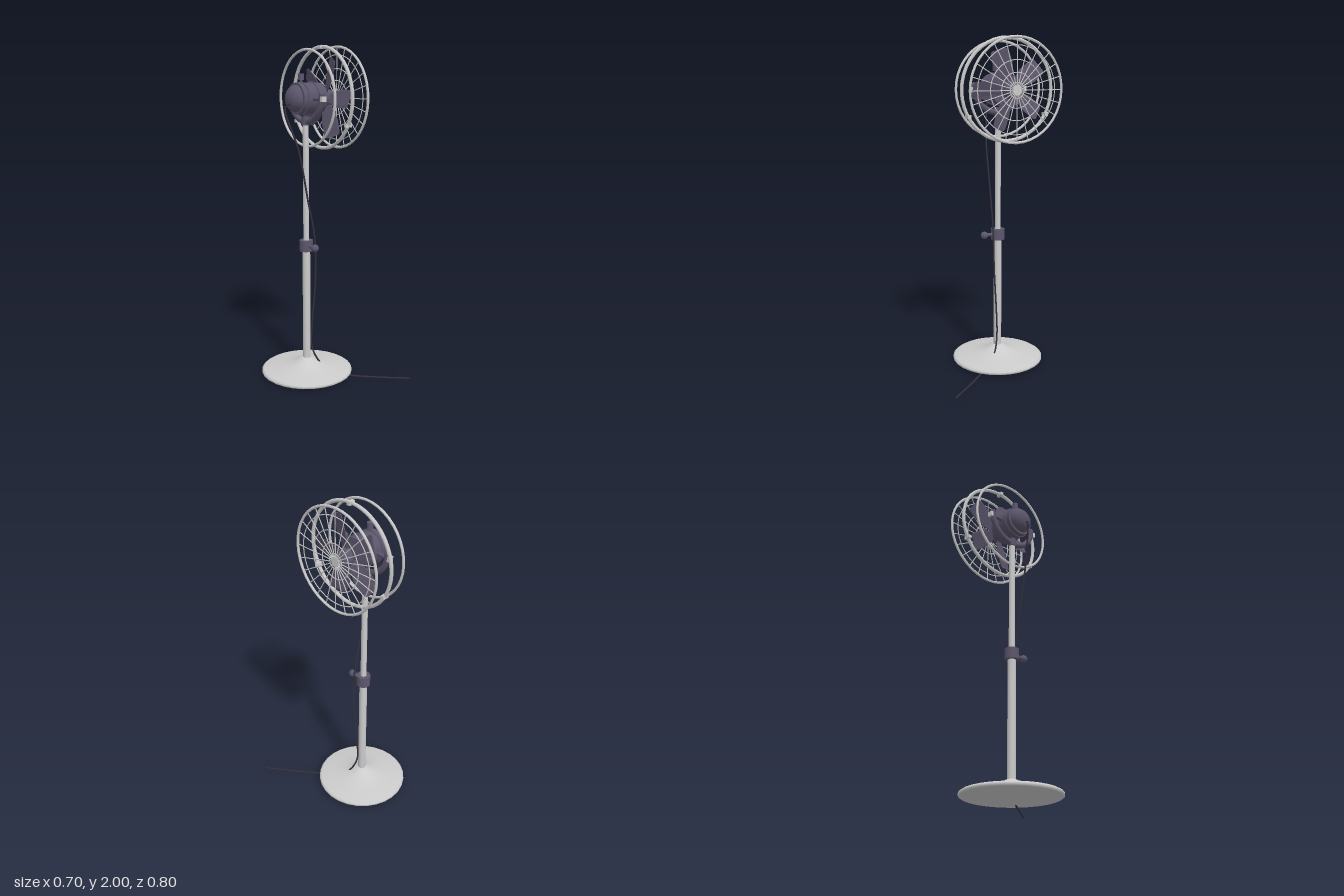
import * as THREE from 'three';

const V = (x, y, z) => new THREE.Vector3(x, y, z);
const grey = new THREE.MeshStandardMaterial({ color: 0xcccccc, side: THREE.DoubleSide });
const dark = new THREE.MeshStandardMaterial({ color: 0x5c566c, side: THREE.DoubleSide });
const black = new THREE.MeshStandardMaterial({ color: 0x35313f });

function add(parent, name, geo, mat, x = 0, y = 0, z = 0) {
  const m = new THREE.Mesh(geo, mat);
  m.name = name;
  m.position.set(x, y, z);
  parent.add(m);
  return m;
}

// Lathe turned so that its profile [radius, x] runs along +x
const latheX = (pts, seg = 24) =>
  new THREE.LatheGeometry(pts.map(p => new THREE.Vector2(...p)), seg).rotateZ(-Math.PI / 2);

// Ring whose axis is x
const ringX = (r, tube, sides = 6, seg = 40) => new THREE.TorusGeometry(r, tube, sides, seg).rotateY(Math.PI / 2);

// Tapered blade pointing along +z, pitched and slightly cupped
function bladeGeometry() {
  const s = new THREE.Shape();
  s.moveTo(0.03, -0.018);
  s.bezierCurveTo(0.08, -0.03, 0.1, -0.05, 0.15, -0.052);
  s.lineTo(0.215, -0.05);
  s.quadraticCurveTo(0.236, -0.048, 0.236, -0.03);
  s.lineTo(0.236, 0.03);
  s.quadraticCurveTo(0.236, 0.048, 0.215, 0.05);
  s.lineTo(0.15, 0.052);
  s.bezierCurveTo(0.1, 0.05, 0.08, 0.03, 0.03, 0.018);
  const g = new THREE.ExtrudeGeometry(s, { depth: 0.005, bevelEnabled: false, curveSegments: 5 });
  const p = g.attributes.position;
  for (let i = 0; i < p.count; i++) {
    const r = p.getX(i), w = p.getY(i), t = p.getZ(i);
    p.setXYZ(i, t + w * 0.36 + w * w * 1.5, w, r);
  }
  // the axis swap mirrors the solid, so restore the winding
  for (let i = 0; i < p.count; i += 3) {
    const a = V().fromBufferAttribute(p, i), c = V().fromBufferAttribute(p, i + 2);
    p.setXYZ(i, c.x, c.y, c.z);
    p.setXYZ(i + 2, a.x, a.y, a.z);
  }
  g.computeVertexNormals();
  return g;
}

export function createModel() {
  const model = new THREE.Group();
  model.name = 'pedestalFan';

  // Stand
  const stand = new THREE.Group();
  stand.name = 'stand';
  stand.position.set(-0.073, 0, -0.095);
  model.add(stand);
  const baseProfile = [[0, 0.01], [0.272, 0.01], [0.28, 0.016], [0.28, 0.028], [0.268, 0.036],
    [0.19, 0.046], [0.12, 0.06], [0.07, 0.077], [0.04, 0.097], [0.024, 0.103], [0, 0.103]];
  add(stand, 'base', new THREE.LatheGeometry(baseProfile.map(p => new THREE.Vector2(...p)), 28), grey);
  add(stand, 'lowerPole', new THREE.CylinderGeometry(0.024, 0.024, 0.72, 16), grey, 0, 0.45, 0);
  add(stand, 'upperPole', new THREE.CylinderGeometry(0.018, 0.018, 0.76, 16), grey, 0, 1.19, 0);
  add(stand, 'heightCollar', new THREE.CylinderGeometry(0.042, 0.042, 0.066, 20), dark, 0, 0.818, 0);
  add(stand, 'clampStem', new THREE.CylinderGeometry(0.011, 0.011, 0.06, 10).rotateX(Math.PI / 2), dark, 0, 0.818, 0.06);
  add(stand, 'clampKnob', new THREE.SphereGeometry(0.023, 14, 10), dark, 0, 0.818, 0.092);

  // U-shaped yoke carrying the motor
  const yoke = new THREE.Group();
  yoke.name = 'yoke';
  yoke.position.set(-0.073, 1.72, -0.095);
  model.add(yoke);
  add(yoke, 'yokeArc', new THREE.TorusGeometry(0.16, 0.018, 8, 20, Math.PI).rotateX(Math.PI).rotateY(Math.PI / 2), dark);
  add(yoke, 'yokeSocket', new THREE.CylinderGeometry(0.024, 0.024, 0.05, 14), dark, 0, -0.155, 0);
  for (const s of [-1, 1]) {
    add(yoke, 'yokeEnd', new THREE.SphereGeometry(0.018, 10, 8), dark, 0, 0, s * 0.16);
    add(yoke, 'pivot', new THREE.CylinderGeometry(0.012, 0.012, 0.09, 10).rotateX(Math.PI / 2), dark, 0, -0.025, s * 0.12);
    add(yoke, 'pivotBolt', new THREE.BoxGeometry(0.03, 0.03, 0.018), grey, 0, -0.025, s * 0.176);
  }

  // Head: everything centred on the blade axis
  const head = new THREE.Group();
  head.name = 'head';
  head.position.set(0, 1.695, -0.095);
  model.add(head);
  add(head, 'motorHousing', new THREE.CylinderGeometry(0.091, 0.091, 0.162, 28).rotateZ(-Math.PI / 2), dark, -0.061, 0, 0);
  add(head, 'rearDome', latheX([[0, -0.197], [0.022, -0.195], [0.045, -0.187], [0.063, -0.174],
    [0.074, -0.158], [0.078, -0.142]]), dark);
  for (const x of [-0.107, -0.037]) add(head, 'motorBand', ringX(0.092, 0.006, 8, 32), dark, x);
  add(head, 'switchStem', new THREE.CylinderGeometry(0.007, 0.007, 0.04, 8), dark, -0.103, 0.1, 0);
  add(head, 'switchKnob', new THREE.CylinderGeometry(0.018, 0.018, 0.036, 14), dark, -0.103, 0.124, 0);
  add(head, 'shaft', new THREE.CylinderGeometry(0.03, 0.03, 0.06, 16).rotateZ(Math.PI / 2), dark, 0.045, 0, 0);
  add(head, 'hub', new THREE.SphereGeometry(0.052, 20, 14), dark, 0.082, 0, 0);

  // Five blades
  const blade = bladeGeometry();
  for (let i = 0; i < 5; i++)
    add(head, 'blade', blade, dark, 0.063).rotation.x = i * Math.PI * 2 / 5;

  // Guard rings
  add(head, 'rearRing', ringX(0.278, 0.008), grey, -0.066);
  add(head, 'middleRing', ringX(0.294, 0.011), grey, 0.043);
  add(head, 'frontRing', ringX(0.296, 0.008), grey, 0.153);
  for (let i = 0; i < 3; i++) {
    const a = Math.PI / 2 + i * Math.PI * 2 / 3;
    add(head, 'ringClip', new THREE.BoxGeometry(0.04, 0.022, 0.02), grey,
      0.043, 0.293 * Math.sin(a), 0.293 * Math.cos(a));
  }

  // Front grille: concentric wires, spokes and a centre cap
  for (const r of [0.25, 0.17, 0.1, 0.045]) add(head, 'grilleWire', ringX(r, 0.003, 5), grey, 0.153);
  const spoke = new THREE.CylinderGeometry(0.003, 0.003, 0.27, 5).translate(0, 0.161, 0);
  for (let i = 0; i < 24; i++)
    add(head, 'grilleSpoke', spoke, grey, 0.153).rotation.x = i * Math.PI / 12;
  add(head, 'grilleCap', new THREE.CylinderGeometry(0.028, 0.028, 0.008, 20).rotateZ(Math.PI / 2), grey, 0.153);

  // Power cord: down the pole, under the base and out across the floor
  const cord = new THREE.CatmullRomCurve3([
    V(-0.18, 1.67, -0.075), V(-0.213, 1.65, -0.095), V(-0.15, 1.4, -0.055), V(-0.09, 1.1, -0.05),
    V(-0.045, 0.87, -0.047), V(-0.037, 0.6, -0.052), V(-0.048, 0.3, -0.075), V(-0.047, 0.17, -0.077),
    V(-0.015, 0.075, -0.045), V(0.03, 0.025, 0.02), V(0.1, 0.007, 0.112), V(0.2, 0.01, 0.228), V(0.345, 0.024, 0.395),
  ], false, 'centripetal');
  add(model, 'powerCord', new THREE.TubeGeometry(cord, 100, 0.0055, 6), black);

  return model;
}
